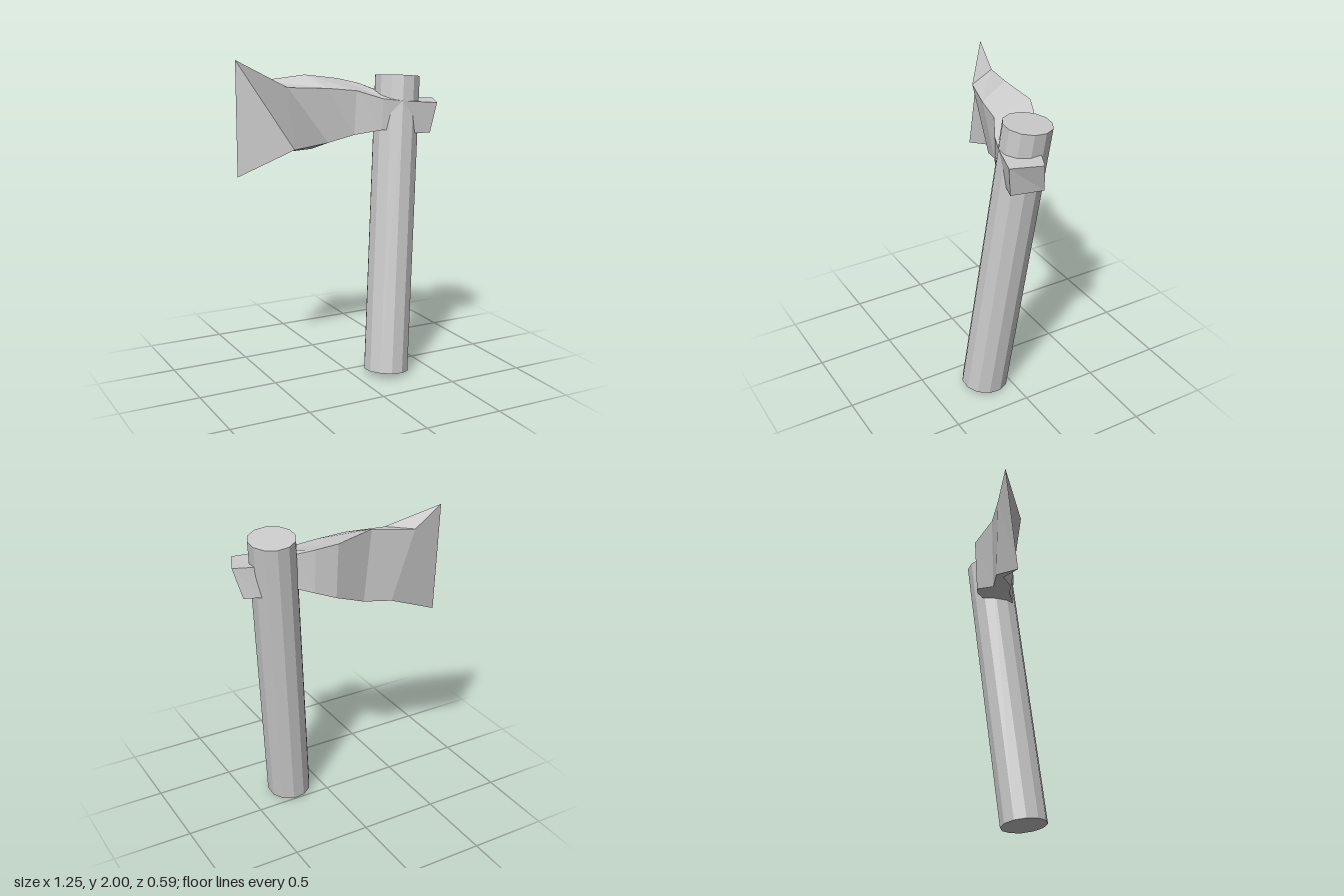
import * as THREE from 'three';

const material = new THREE.MeshStandardMaterial({ color: 0xcccccc, flatShading: true });

// Skins four-cornered sections [topFront, bottomFront, bottomBack, topBack], running towards +x.
function loft(name, sections) {
  const pos = [];
  const tri = (a, b, c) => { if (a !== b && b !== c && a !== c) pos.push(...a, ...b, ...c); };
  const quad = (a, b, c, d) => { tri(a, b, c); tri(a, c, d); };
  for (let i = 0; i < sections.length - 1; i++) {
    const s = sections[i], t = sections[i + 1];
    for (let j = 0; j < 4; j++) {
      const k = (j + 1) % 4;
      quad(s[j], s[k], t[k], t[j]);
    }
  }
  quad(...sections[sections.length - 1]); // closing end
  const geometry = new THREE.BufferGeometry();
  geometry.setAttribute('position', new THREE.Float32BufferAttribute(pos, 3));
  geometry.computeVertexNormals();
  const mesh = new THREE.Mesh(geometry, material);
  mesh.name = name;
  return mesh;
}

export function createModel() {
  const group = new THREE.Group();
  group.name = 'axe';

  // Leaning twelve-sided handle, slightly oval
  const bottom = new THREE.Vector3(0.215, 0.019, 0.148);
  const top = new THREE.Vector3(0.385, 1.886, -0.037);
  const axis = top.clone().sub(bottom);
  const shaft = new THREE.CylinderGeometry(0.141, 0.141, axis.length(), 12, 1, false, Math.PI / 12);
  shaft.scale(1, 1, 1.07);
  const handle = new THREE.Mesh(shaft, material);
  handle.name = 'handle';
  handle.position.copy(bottom).add(top).multiplyScalar(0.5);
  handle.quaternion.setFromUnitVectors(new THREE.Vector3(0, 1, 0), axis.normalize());
  group.add(handle);

  // Blade, from the cutting edge back into the handle
  const tip = [-0.6, 2, -0.3], heel = [-0.63, 1.29, -0.23];
  group.add(loft('blade', [
    [tip, heel, heel, tip],
    [[-0.345, 1.84, -0.095], [-0.265, 1.44, -0.18], [-0.31, 1.42, -0.245], [-0.435, 1.87, -0.285]],
    [[-0.11, 1.83, -0.03], [-0.09, 1.49, -0.06], [-0.14, 1.435, -0.2], [-0.17, 1.9, -0.225]],
    [[0.075, 1.81, 0], [0.065, 1.535, -0.01], [0.07, 1.52, -0.235], [0.07, 1.865, -0.255]],
    [[0.22, 1.76, 0.08], [0.215, 1.565, 0.07], [0.19, 1.56, -0.19], [0.19, 1.835, -0.205]],
    [[0.34, 1.745, 0.125], [0.3, 1.57, 0.1], [0.29, 1.58, -0.1], [0.29, 1.79, -0.11]],
  ]));

  // Blunt poll on the other side of the handle
  group.add(loft('poll', [
    [[0.34, 1.745, 0.125], [0.38, 1.54, 0.11], [0.46, 1.55, -0.08], [0.47, 1.74, -0.07]],
    [[0.545, 1.73, 0.182], [0.515, 1.54, 0.153], [0.575, 1.55, -0.035], [0.625, 1.737, 0]],
  ]));

  return group;
}
